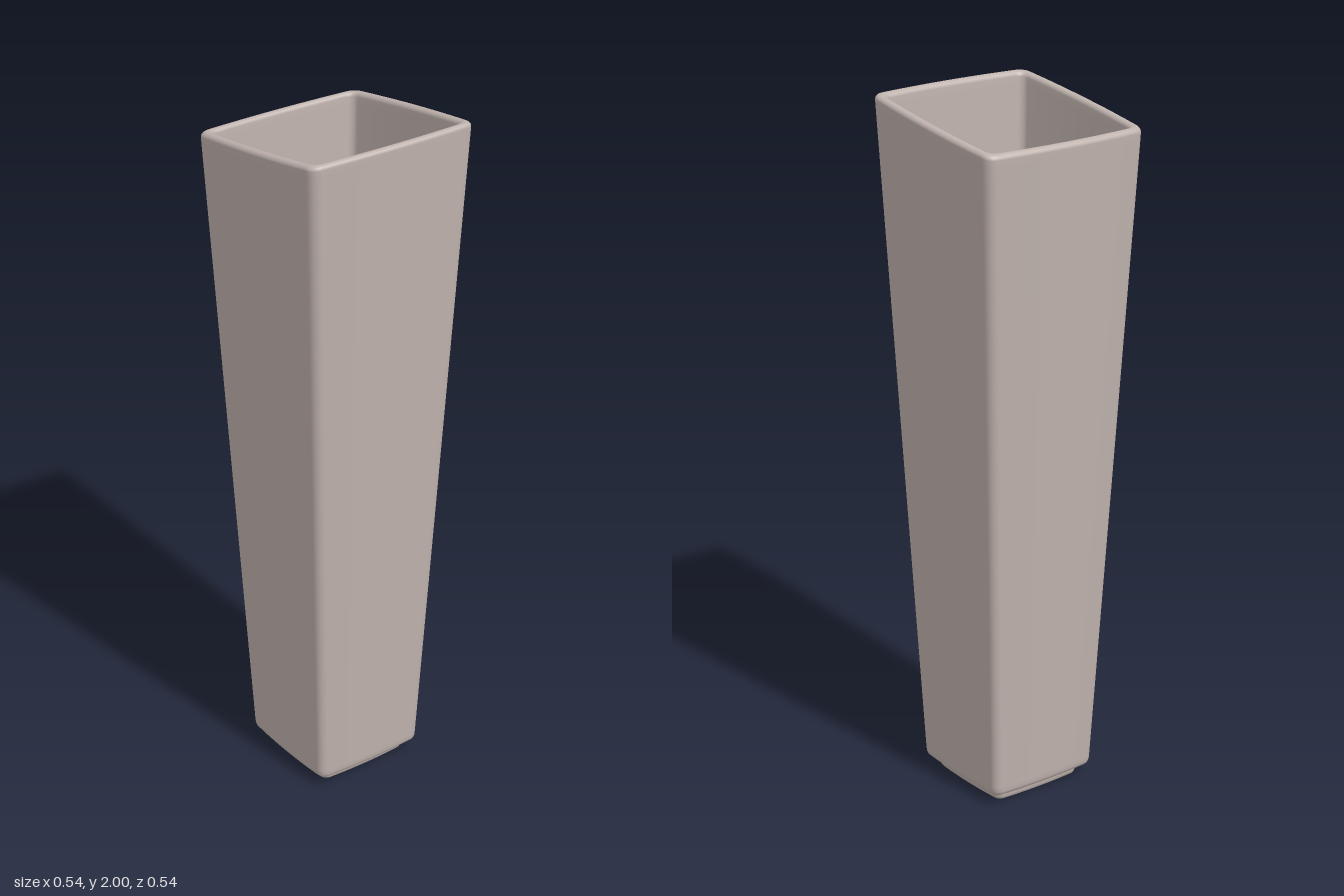
import * as THREE from 'three';

const SIDE = 10;   // segments along each side
const CORNER = 6;  // segments around each corner

// Rounded square outline with slightly bowed sides, running from +x towards +z
function outline(half, radius) {
  const r = Math.min(radius, half * 0.5);
  const bow = 0.03 * half;
  const flat = half - bow - r; // corner arc centre
  const quarter = [];
  for (let i = 0; i < SIDE; i++) {
    const s = -1 + (2 * i) / SIDE;
    quarter.push([flat + r + bow * (1 - s * s), s * flat]);
  }
  for (let i = 0; i < CORNER; i++) {
    const a = (i / CORNER) * Math.PI / 2;
    quarter.push([flat + r * Math.cos(a), flat + r * Math.sin(a)]);
  }
  const points = [];
  for (let q = 0; q < 4; q++) {
    for (const [x, z] of quarter) {
      if (q === 0) points.push([x, z]);
      else if (q === 1) points.push([-z, x]);
      else if (q === 2) points.push([-x, -z]);
      else points.push([z, -x]);
    }
  }
  return points;
}

// Skins a list of rings [half width, height, corner radius, slope along x]
function loft(rings) {
  const count = 4 * (SIDE + CORNER);
  const positions = [];
  const index = [];
  for (const [half, y, radius, slope = 0] of rings) {
    for (const [x, z] of outline(half, radius)) positions.push(x, y + slope * x, z);
  }
  for (let i = 0; i < rings.length - 1; i++) {
    for (let j = 0; j < count; j++) {
      const k = (j + 1) % count;
      const a = i * count + j, b = a + count;
      const c = i * count + k, d = c + count;
      index.push(a, b, c, b, d, c);
    }
  }
  const geometry = new THREE.BufferGeometry();
  geometry.setAttribute('position', new THREE.Float32BufferAttribute(positions, 3));
  geometry.setIndex(index);
  geometry.computeVertexNormals();
  return geometry;
}

export function createModel() {
  const ceramic = new THREE.MeshStandardMaterial({ color: 0xbfb2ad });
  ceramic.name = 'warm grey ceramic';
  const group = new THREE.Group();
  group.name = 'vase';
  const add = (name, rings) => {
    const mesh = new THREE.Mesh(loft(rings), ceramic);
    mesh.name = name;
    group.add(mesh);
  };

  // Foot ring with a recessed underside
  add('foot', [
    [0, 0.025, 0.015], [0.112, 0.025, 0.015], [0.117, 0.023, 0.015],
    [0.119, 0.018, 0.015], [0.121, 0.006, 0.015], [0.124, 0.001, 0.015],
    [0.128, 0, 0.015], [0.14, 0, 0.018], [0.145, 0.001, 0.02],
    [0.148, 0.005, 0.02], [0.15, 0.012, 0.02], [0.152, 0.034, 0.02],
  ]);

  // Tapering outer wall, from the underside up to the slanted rim
  const slope = 0.14, top = 1.963;
  const outer = [
    [0.14, 0.031, 0.02], [0.166, 0.031, 0.02], [0.173, 0.033, 0.022],
    [0.178, 0.038, 0.024], [0.181, 0.046, 0.025], [0.182, 0.06, 0.025],
  ];
  // Rounded rim, outside edge to inside edge
  const rim = [[0.2685, top - 0.03, 0.03, slope]];
  for (let i = 0; i <= 10; i++) {
    const a = (i / 10) * Math.PI;
    rim.push([0.256 + 0.0135 * Math.cos(a), top - 0.013 + 0.013 * Math.sin(a), 0.027 + 0.004 * Math.cos(a), slope]);
  }
  rim.push([0.2415, top - 0.03, 0.022, slope]);
  // Inner wall, running down to the floor
  const inner = [
    [0.165, 0.1, 0.02], [0.163, 0.085, 0.02], [0.159, 0.077, 0.02],
    [0.152, 0.072, 0.02], [0.14, 0.07, 0.02], [0, 0.07, 0.02],
  ];
  add('body', [...outer, ...rim, ...inner]);
  return group;
}
